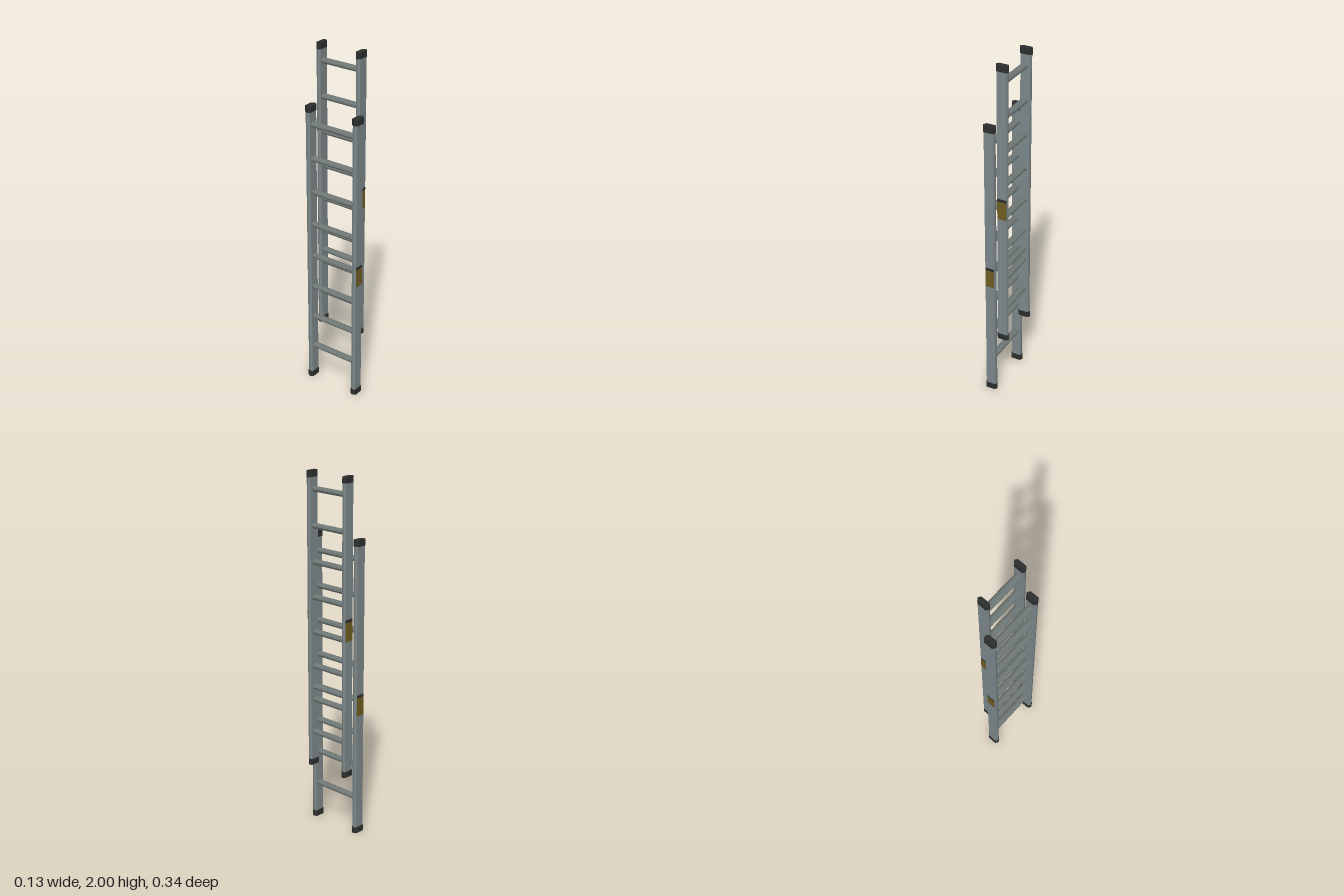
import * as THREE from 'three';

const material = (name, color, side = THREE.FrontSide) => {
  const m = new THREE.MeshStandardMaterial({ color, side });
  m.name = name;
  return m;
};

// Upright bar with a hexagonal section: flat broad faces, edges bulging along x.
function hexBar(halfWidth, halfFlat, halfDepth, height) {
  const s = new THREE.Shape([
    [-halfWidth, 0], [-halfFlat, -halfDepth], [halfFlat, -halfDepth],
    [halfWidth, 0], [halfFlat, halfDepth], [-halfFlat, halfDepth],
  ].map(([x, y]) => new THREE.Vector2(x, y)));
  return new THREE.ExtrudeGeometry(s, { depth: height, bevelEnabled: false }).rotateX(-Math.PI / 2);
}

// Oval rung with shallow grip grooves, running along z.
function rungGeometry(length) {
  const pts = [];
  for (let i = 0; i < 48; i++) {
    const a = (i / 48) * Math.PI * 2;
    const r = 0.97 + 0.03 * Math.cos(a * 12);
    pts.push(new THREE.Vector2(Math.cos(a) * r * 0.0205, Math.sin(a) * r * 0.0145));
  }
  return new THREE.ExtrudeGeometry(new THREE.Shape(pts), { depth: length, bevelEnabled: false })
    .translate(0, 0, -length / 2);
}

export function createModel() {
  const group = new THREE.Group();
  group.name = 'extensionLadder';
  const rail = material('railAluminium', 0x7d888a);
  const rungMat = material('rungAluminium', 0x6f7876);
  const rubber = material('blackRubber', 0x2d2f2f);
  const yellow = material('labelYellow', 0x6e5d22);

  const add = (parent, name, geometry, mat, x, y, z) => {
    const mesh = new THREE.Mesh(geometry, mat);
    mesh.name = name;
    mesh.position.set(x, y, z);
    parent.add(mesh);
  };

  const sections = [
    { name: 'baseSection', x: -0.03, rungX: -0.031, bottom: 0, top: 1.67, z: 0.152, half: 0.0135,
      capHalf: 0.018, labelY: 0.70, rungs: 8, firstRung: 0.206, extra: [] },
    { name: 'flySection', x: 0.03, rungX: 0.026, bottom: 0.35, top: 2, z: 0.125, half: 0.0125,
      capHalf: 0.0145, labelY: 1.13, rungs: 8, firstRung: 0.545, extra: [0.812] },
  ];

  for (const s of sections) {
    const part = new THREE.Group();
    part.name = s.name;
    group.add(part);
    const capH = 0.034;

    for (const side of [1, -1]) {
      const z = side * s.z;
      // Rail with end caps
      add(part, 'rail', hexBar(0.0315, 0.027, s.half, s.top - s.bottom - 0.02), rail, s.x, s.bottom + 0.01, z);
      for (const y of [s.bottom, s.top - capH]) {
        add(part, 'endCap', hexBar(0.0367, 0.026, s.capHalf, capH), rubber, s.x, y, z);
      }
      // Warning label with dark heading strip on the outer face
      const faceZ = z + side * s.half;
      add(part, 'label', new THREE.BoxGeometry(0.053, 0.105, 0.002), yellow, s.x, s.labelY + 0.0525, faceZ);
      add(part, 'labelHeading', new THREE.BoxGeometry(0.053, 0.016, 0.002), rubber, s.x, s.labelY + 0.113, faceZ);
    }

    // Rungs
    const heights = Array.from({ length: s.rungs }, (_, i) => s.firstRung + i * 0.194).concat(s.extra);
    const geometry = rungGeometry(2 * s.z);
    for (const y of heights) add(part, 'rung', geometry, rungMat, s.rungX, y, 0);
  }
  return group;
}
